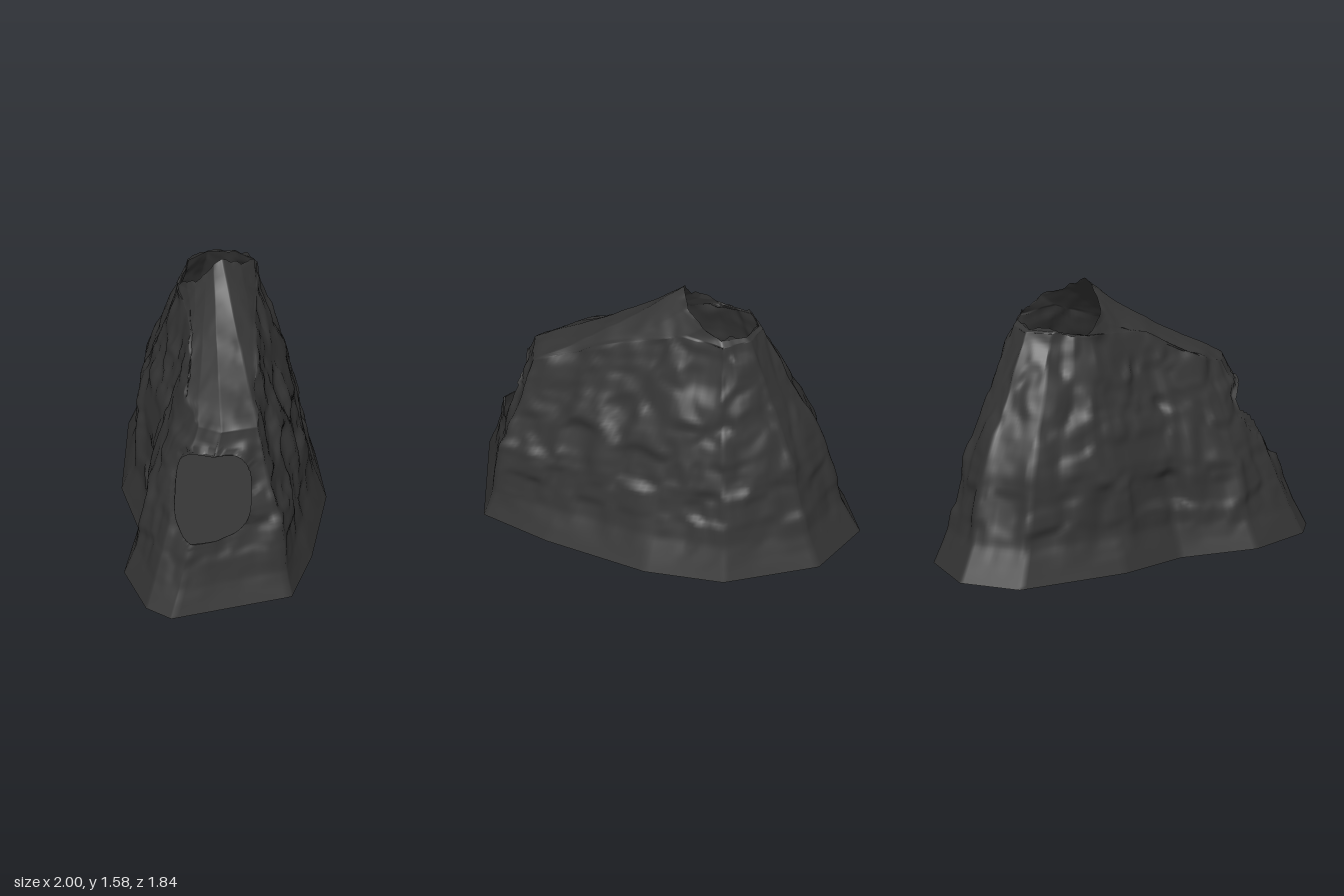
import * as THREE from 'three';

// One row per corner column: base [x,z], shoulder [x,y,z], crater rim [x,y,z]
const COLUMNS = [
  [[0.46, -0.92], [0.34, 1.35, -0.40], [0.32, 1.36, -0.39]],
  [[0.81, -0.82], [0.49, 1.35, -0.38], [0.47, 1.36, -0.36]],
  [[1.00, -0.44], [0.57, 1.35, -0.25], [0.55, 1.38, -0.23]],
  [[0.86, 0.10], [0.56, 1.36, -0.07], [0.53, 1.39, -0.08]],
  [[0.54, 0.43], [0.36, 1.37, 0.07], [0.44, 1.46, -0.01]],
  [[0.00, 0.75], [0.05, 1.22, 0.31], [0.30, 1.51, 0.00]],
  [[-0.40, 0.92], [-0.34, 1.00, 0.64], [0.19, 1.57, -0.04]],
  [[-1.00, 0.53], [-0.53, 1.01, 0.52], [0.15, 1.54, -0.07]],
  [[-1.00, 0.35], [-0.55, 1.00, 0.36], [0.12, 1.49, -0.10]],
  [[-0.78, 0.02], [-0.45, 1.05, 0.21], [0.09, 1.43, -0.15]],
  [[-0.37, -0.20], [-0.14, 1.26, 0.01], [0.09, 1.38, -0.21]],
  [[-0.10, -0.53], [0.12, 1.32, -0.29], [0.15, 1.33, -0.33]],
];
// How far the wall has moved from base to shoulder at each height fraction
const TAPER = [[0, 0], [0.15, 0.19], [0.3, 0.28], [0.45, 0.37], [0.6, 0.52], [0.75, 0.71], [1, 1]];
// How much each column straightens that bulge; negative swells it
const STRAIGHT = [-0.2, 0, 0.1, 0.4, 0.3, 0, 0, 0.7, 0.7, 0.2, -0.5, -0.5];
// Roughness of the stone at each column; the narrow far end is smoother
const ROUGH = [0.7, 0.5, 0.6, 1, 1, 1, 1, 0.6, 0.6, 1, 1, 1];
const PER_EDGE = 16, WALL = 70, ROOF = 26;
const COLS = COLUMNS.length * PER_EDGE, ROWS = WALL + ROOF;
const { lerp, smoothstep } = THREE.MathUtils;

// Blend a per-column value around the rock
function around(values, col) {
  const k = Math.floor(col / PER_EDGE);
  return lerp(values[k], values[(k + 1) % values.length], (col % PER_EDGE) / PER_EDGE);
}

function taper(f) {
  const k = Math.max(1, TAPER.findIndex((p) => p[0] >= f));
  const [a, b] = [TAPER[k - 1], TAPER[k]];
  return lerp(a[1], b[1], (f - a[0]) / (b[0] - a[0]));
}

function hash(x, y, z) {
  const s = Math.sin(x * 127.1 + y * 311.7 + z * 74.7) * 43758.5453;
  return (s - Math.floor(s)) * 2 - 1;
}

// Value noise with flat plateaus and steep steps, giving chipped blocks of stone
function chips(x, y, z, sharp) {
  const i = [x, y, z].map(Math.floor);
  const f = [x - i[0], y - i[1], z - i[2]].map((t) => smoothstep(t, sharp, 1 - sharp));
  let sum = 0;
  for (let c = 0; c < 8; c++) {
    const d = [c & 1, (c >> 1) & 1, c >> 2];
    const w = d.reduce((p, on, k) => p * (on ? f[k] : 1 - f[k]), 1);
    sum += w * hash(i[0] + d[0], i[1] + d[1], i[2] + d[2]);
  }
  return sum;
}

// Rounded side opening, measured along the end wall (u) and up (y)
const HOLE = { x: -0.63, y: 0.635, z: 0.535, ux: 0.545, uz: 0.84, halfU: 0.215, halfY: 0.235 };

function holeU(x, z) {
  return (x - HOLE.x) * HOLE.ux + (z - HOLE.z) * HOLE.uz;
}

// Below 1 inside the opening, which stays clear of the front and back walls
function opening(x, y, z) {
  if (x > -0.4 || z < 0.27) return 9;
  return Math.abs(holeU(x, z) / HOLE.halfU) ** 3 + Math.abs((y - HOLE.y) / HOLE.halfY) ** 3;
}

function pointOn(row, col) {
  const k = Math.floor(col / PER_EDGE), t = (col % PER_EDGE) / PER_EDGE;
  const A = COLUMNS[k], B = COLUMNS[(k + 1) % COLUMNS.length];
  const mix = (n) => A[n].map((v, j) => lerp(v, B[n][j], t));
  const base = mix(0), shoulder = mix(1), rim = mix(2);
  if (row <= WALL) {
    const f = row / WALL, s = lerp(taper(f), f, around(STRAIGHT, col));
    return [lerp(base[0], shoulder[0], s), shoulder[1] * f, lerp(base[1], shoulder[2], s)];
  }
  // The long roof slope sags a little on its way to the crater
  const f = (row - WALL) / ROOF;
  const p = shoulder.map((v, j) => lerp(v, rim[j], f));
  p[1] -= 0.03 * Math.hypot(rim[0] - shoulder[0], rim[2] - shoulder[2]) * Math.sin(Math.PI * f);
  return p;
}

function rockShell() {
  const points = [], faces = [];
  for (let r = 0; r <= ROWS; r++) for (let c = 0; c < COLS; c++) points.push(...pointOn(r, c));
  for (let r = 0; r < ROWS; r++) {
    for (let c = 0; c < COLS; c++) {
      const n = (c + 1) % COLS;
      const a = r * COLS + c, b = r * COLS + n, d = a + COLS, e = b + COLS;
      faces.push([a, d, b], [b, d, e]);
    }
  }
  const geo = new THREE.BufferGeometry();
  geo.setAttribute('position', new THREE.Float32BufferAttribute(points, 3));
  geo.setIndex(faces.flat());
  geo.computeVertexNormals();

  // Chip the surface along its normals: smooth at the foot, calmer on the roof
  const pos = geo.attributes.position, nor = geo.attributes.normal;
  for (let v = 0; v < pos.count; v++) {
    const row = Math.floor(v / COLS);
    let x = pos.getX(v), y = pos.getY(v), z = pos.getZ(v);
    const foot = smoothstep(y, 0.03, 0.4);
    const calm = 1 - 0.65 * smoothstep(row, WALL, WALL + 6);
    const wx = x + 0.05 * chips(x * 4, y * 4, z * 4, 0);
    const wy = y + 0.05 * chips(x * 4 + 9, y * 4, z * 4, 0);
    const wz = z + 0.05 * chips(x * 4, y * 4 + 9, z * 4, 0);
    const h = 0.022 * chips(wx * 5.5, wy * 5, wz * 5.5, 0.33)
      + 0.01 * chips(wx * 11, wy * 8, wz * 11, 0.25);
    const amount = h * foot * calm * around(ROUGH, v % COLS);
    x += nor.getX(v) * amount;
    y += nor.getY(v) * amount;
    z += nor.getZ(v) * amount;
    // Broken crater edge
    if (row === ROWS) y += 0.025 * chips(x * 22, 3, z * 22, 0.1);
    // Draw nearby points onto the edge of the side opening
    const q = opening(x, y, z);
    if (q > 0.75 && q < 1.3) {
      const k = q ** (-1 / 3), du = holeU(x, z) * (k - 1);
      x += HOLE.ux * du;
      y = HOLE.y + (y - HOLE.y) * k;
      z += HOLE.uz * du;
    }
    pos.setXYZ(v, x, y, z);
  }

  // Leave out the faces inside the side opening
  const kept = faces.filter((f) => {
    const mid = ['getX', 'getY', 'getZ'].map((g) => (pos[g](f[0]) + pos[g](f[1]) + pos[g](f[2])) / 3);
    return opening(...mid) >= 0.98;
  });
  geo.setIndex(kept.flat());
  geo.computeVertexNormals();
  return geo;
}

export function createModel() {
  const group = new THREE.Group();
  group.name = 'hollowRock';
  const stone = new THREE.MeshStandardMaterial({ color: 0x363636, side: THREE.DoubleSide });
  stone.name = 'dark stone';

  const shell = new THREE.Mesh(rockShell(), stone);
  shell.name = 'rockShell';

  // Flat base, which is also the floor of the hollow
  const outline = new THREE.Shape(COLUMNS.map(([b]) => new THREE.Vector2(b[0], b[1])));
  const floor = new THREE.Mesh(new THREE.ShapeGeometry(outline).rotateX(Math.PI / 2), stone);
  floor.name = 'baseFloor';

  group.add(shell, floor);
  return group;
}
